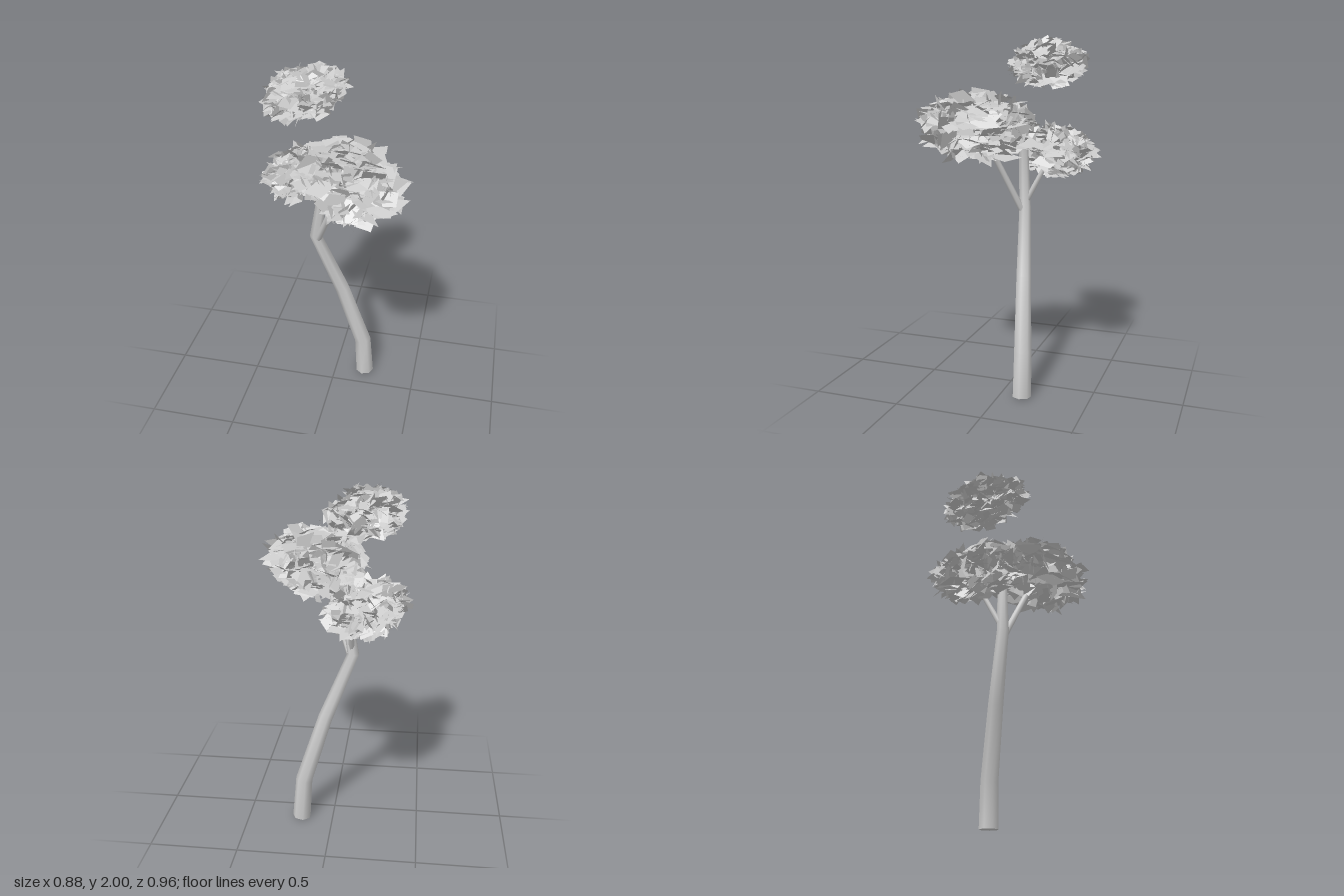
import * as THREE from 'three';

const bark = new THREE.MeshStandardMaterial({ color: 0xcccccc });
const foliage = new THREE.MeshStandardMaterial({ color: 0xcccccc, side: THREE.DoubleSide, flatShading: true });

// Small seeded random generator
function seeded(seed) {
  let s = seed;
  return () => {
    s = (s * 1664525 + 1013904223) % 4294967296;
    return s / 4294967296;
  };
}

// Tapered limb through points [x, y, z, radius], with flat end caps
function limb(name, path, sides) {
  const pts = path.map(p => new THREE.Vector3(p[0], p[1], p[2]));
  const up = new THREE.Vector3(0, 1, 0);
  const pos = [], idx = [];
  const rings = pts.map((p, i) => {
    const dir = pts[Math.min(i + 1, pts.length - 1)].clone().sub(pts[Math.max(i - 1, 0)]).normalize();
    const q = new THREE.Quaternion().setFromUnitVectors(up, dir);
    return Array.from({ length: sides }, (_, k) => {
      const a = (k / sides) * Math.PI * 2;
      return new THREE.Vector3(Math.cos(a), 0, Math.sin(a)).multiplyScalar(path[i][3]).applyQuaternion(q).add(p);
    });
  });
  rings.forEach(r => r.forEach(v => pos.push(v.x, v.y, v.z)));
  for (let i = 0; i < rings.length - 1; i++) {
    for (let k = 0; k < sides; k++) {
      const a = i * sides + k, b = i * sides + (k + 1) % sides;
      idx.push(a, a + sides, b, b, a + sides, b + sides);
    }
  }
  // Caps use their own vertices so the rims stay sharp
  [0, rings.length - 1].forEach((r, end) => {
    const start = pos.length / 3;
    rings[r].forEach(v => pos.push(v.x, v.y, v.z));
    for (let k = 1; k < sides - 1; k++) {
      if (end) idx.push(start, start + k + 1, start + k);
      else idx.push(start, start + k, start + k + 1);
    }
  });
  const geo = new THREE.BufferGeometry();
  geo.setAttribute('position', new THREE.Float32BufferAttribute(pos, 3));
  geo.setIndex(idx);
  geo.computeVertexNormals();
  const mesh = new THREE.Mesh(geo, bark);
  mesh.name = name;
  return mesh;
}

// Ellipsoid cloud of leaf cards, stretched along with the cloud
function leafCluster(name, center, radii, yaw, count, seed) {
  const rnd = seeded(seed);
  const pos = [], idx = [];
  const q = new THREE.Quaternion();
  const place = new THREE.Matrix4().compose(
    new THREE.Vector3(...center),
    new THREE.Quaternion().setFromAxisAngle(new THREE.Vector3(0, 1, 0), yaw),
    new THREE.Vector3(...radii)
  );
  for (let i = 0; i < count; i++) {
    const y = rnd() * 2 - 1, a = rnd() * Math.PI * 2, flat = Math.sqrt(1 - y * y);
    const c = new THREE.Vector3(flat * Math.cos(a), y, flat * Math.sin(a));
    c.multiplyScalar(0.81 * Math.pow(rnd(), 0.3));
    q.set(rnd() - 0.5, rnd() - 0.5, rnd() - 0.5, rnd() - 0.5).normalize();
    // Half length, half width and a skew that makes the corners pointed
    const l = 0.15 + rnd() * 0.1, w = 0.1 + rnd() * 0.06, skew = 0.1 * rnd();
    [[-l - skew, -w], [l - skew, -w], [l + skew, w], [-l + skew, w]].forEach(([u, v]) => {
      const p = new THREE.Vector3(u, v, 0).applyQuaternion(q).add(c).applyMatrix4(place);
      pos.push(p.x, p.y, p.z);
    });
    const n = i * 4;
    idx.push(n, n + 1, n + 2, n, n + 2, n + 3);
  }
  const geo = new THREE.BufferGeometry();
  geo.setAttribute('position', new THREE.Float32BufferAttribute(pos, 3));
  geo.setIndex(idx);
  geo.computeVertexNormals();
  const mesh = new THREE.Mesh(geo, foliage);
  mesh.name = name;
  return mesh;
}

export function createModel() {
  const tree = new THREE.Group();
  tree.name = 'tree';

  // Leaning trunk, bending upright at the fork
  tree.add(limb('trunk', [
    [0.185, 0.007, -0.126, 0.054],
    [0.167, 0.26, -0.124, 0.05],
    [0.042, 0.66, -0.088, 0.043],
    [-0.108, 1.04, -0.046, 0.034],
    [-0.045, 1.46, -0.055, 0.026],
  ], 7));

  // Two thin branches from the fork
  tree.add(limb('frontBranch', [[-0.095, 1.01, -0.04, 0.019], [0.07, 1.43, 0.12, 0.015]], 6));
  tree.add(limb('rearBranch', [[-0.1, 1.05, -0.045, 0.017], [-0.1, 1.36, -0.21, 0.012]], 6));

  // Leaf clusters
  tree.add(leafCluster('frontLeaves', [0.12, 1.513, 0.145], [0.375, 0.215, 0.275], -0.83, 520, 11));
  tree.add(leafCluster('rearLeaves', [-0.195, 1.36, -0.2], [0.315, 0.165, 0.19], 0.95, 480, 29));
  tree.add(leafCluster('topLeaves', [-0.178, 1.847, -0.152], [0.3, 0.152, 0.18], 1.0, 480, 53));
  return tree;
}
